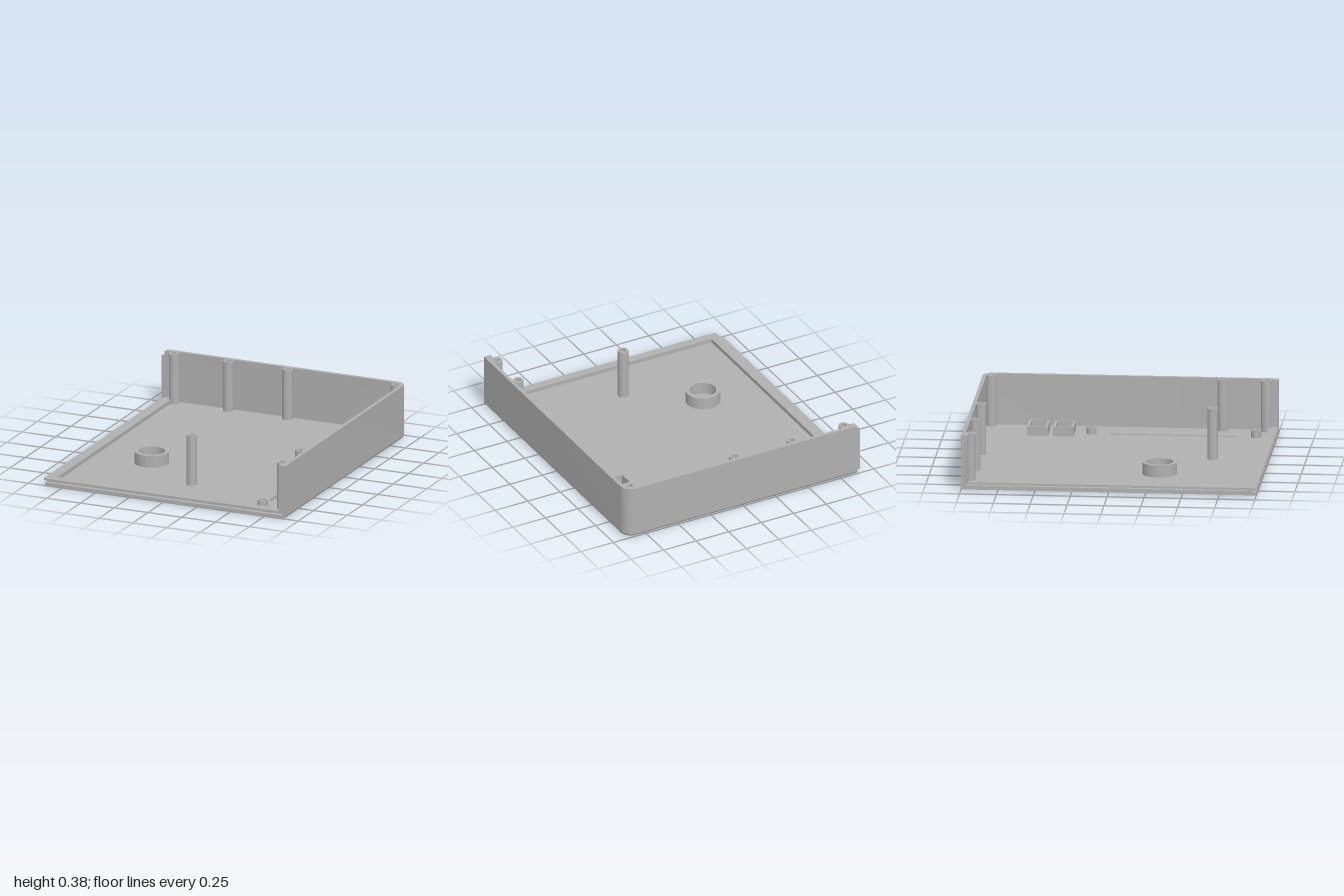
import * as THREE from 'three';
import { toCreasedNormals } from 'three/addons/utils/BufferGeometryUtils.js';

const LEFT = -0.875, RIGHT = 0.905, TOP = 0.375, FILLET = 0.022, CORNER = 0.08, FLOOR = 0.022, RIM = 0.05;

// Plan outline (x, -z), inset on the two walled sides, one rounded corner
function outline(inset) {
  const pts = [[LEFT, -1], [RIGHT - inset, -1]];
  const steps = 10;
  for (let i = 0; i <= steps; i++) {
    const a = (i / steps) * Math.PI / 2, r = CORNER - inset;
    pts.push([RIGHT - CORNER + r * Math.cos(a), 1 - CORNER + r * Math.sin(a)]);
  }
  pts.push([LEFT, 1 - inset]);
  return pts.map(([x, y]) => new THREE.Vector2(x, y));
}

export function createModel() {
  const group = new THREE.Group();
  const grey = new THREE.MeshStandardMaterial({ color: 0xb0b0b0 });
  grey.name = 'plastic grey';

  const add = (name, geometry) => {
    const mesh = new THREE.Mesh(geometry, grey);
    mesh.name = name;
    group.add(mesh);
    return mesh;
  };
  // Box from minimum and maximum corners
  const box = (name, x0, x1, y0, y1, z0, z1) => {
    const g = new THREE.BoxGeometry(x1 - x0, y1 - y0, z1 - z0);
    add(name, g.translate((x0 + x1) / 2, (y0 + y1) / 2, (z0 + z1) / 2));
  };
  // Plan shape raised from y0 to y1
  const raise = (name, shape, y0, y1) => {
    const g = new THREE.ExtrudeGeometry(shape, { depth: y1 - y0, bevelEnabled: false, curveSegments: 28 });
    g.rotateX(-Math.PI / 2).translate(0, y0, 0);
    add(name, toCreasedNormals(g, 0.6));
  };
  const circle = (Kind, x, z, r) => new Kind().absarc(x, -z, r, 0, Math.PI * 2, false);
  const rect = (Kind, x0, x1, z0, z1) => new Kind(
    [[x0, -z1], [x1, -z1], [x1, -z0], [x0, -z0]].map(([x, y]) => new THREE.Vector2(x, y)));
  const ring = (name, x, z, outer, inner, y1) => {
    const shape = circle(THREE.Shape, x, z, outer);
    shape.holes.push(circle(THREE.Path, x, z, inner));
    raise(name, shape, FLOOR, y1);
  };

  // Floor with round hole, slot and two windows
  const windows = [[-0.66, -0.555], [-0.485, -0.38]];
  const floor = new THREE.Shape(outline(FILLET));
  floor.holes.push(circle(THREE.Path, -0.4, 0.305, 0.038), rect(THREE.Path, 0.66, 0.685, -0.12, 0.73));
  for (const [z0, z1] of windows) floor.holes.push(rect(THREE.Path, 0.595, 0.76, z0, z1));
  raise('floor', floor, 0, FLOOR);

  // Rounded lower edge, as rings of the outline
  const position = [], index = [], levels = 6;
  const count = outline(0).length;
  for (let k = 0; k <= levels; k++) {
    const a = (k / levels) * Math.PI / 2;
    for (const p of outline(FILLET * (1 - Math.sin(a)))) {
      position.push(p.x, FILLET * (1 - Math.cos(a)), -p.y);
    }
  }
  for (let k = 0; k < levels; k++) {
    for (let j = 0; j < count; j++) {
      const a = k * count + j, b = k * count + (j + 1) % count;
      index.push(a, b, b + count, a, b + count, a + count);
    }
  }
  const edge = new THREE.BufferGeometry();
  edge.setAttribute('position', new THREE.Float32BufferAttribute(position, 3));
  edge.setIndex(index);
  add('roundedLowerEdge', toCreasedNormals(edge, 0.6));

  // Back and side wall with a rounded corner between them
  const outer = outline(0).slice(1), inner = outline(0.025).slice(1);
  outer[0].y = inner[0].y = -0.97;
  raise('walls', new THREE.Shape([...outer, ...inner.reverse()]), FLOOR, TOP);

  // Thickened wall end at the front, with an upright groove
  box('wallEndOuterLip', 0.885, RIGHT, FLOOR, TOP, 0.97, 1);
  box('wallEndInnerLip', 0.855, 0.87, 0.036, TOP, 0.97, 1);
  box('wallEndBlock', 0.855, 0.885, FLOOR, TOP, 0.945, 0.97);
  box('wallEndGrooveTop', 0.87, 0.885, 0.345, TOP, 0.97, 1);

  // Front rim with a long groove
  box('frontRim', LEFT, 0.885, FLOOR, RIM, 0.94, 0.97);
  box('frontRimLip', LEFT, 0.87, 0.036, RIM, 0.97, 1);

  // Open side rim, thickened wall end and tongue
  box('sideRim', LEFT, -0.813, FLOOR, RIM, -0.98, 0.94);
  box('backWallEnd', LEFT, -0.835, FLOOR, TOP, -0.98, -0.955);
  box('floorTongue', -0.905, LEFT, FLOOR, 0.036, -0.985, 0.95);
  box('wallTongue', -0.905, LEFT, FLOOR, 0.34, -0.985, -0.97);

  // Tall screw posts
  const posts = [[-0.8, -0.945], [-0.4, -0.945], [0.04, -0.945], [0.845, -0.945],
    [0.04, 0.625], [0.845, 0.625], [0.845, 0.92]];
  for (const [x, z] of posts) ring('screwPost', x, z, 0.036, 0.02, TOP);

  // Short posts at the ends of the slot
  for (const z of [-0.25, 0.865]) ring('shortPost', 0.675, z, 0.035, 0.02, 0.07);

  // Round collar
  ring('collar', -0.4, 0.305, 0.118, 0.09, 0.105);

  // Window frames
  for (const [z0, z1] of windows) {
    const frame = rect(THREE.Shape, 0.577, 0.77, z0 - 0.018, z1 + 0.018);
    frame.holes.push(rect(THREE.Path, 0.595, 0.76, z0, z1));
    raise('windowFrame', frame, FLOOR, 0.087);
  }
  return group;
}
